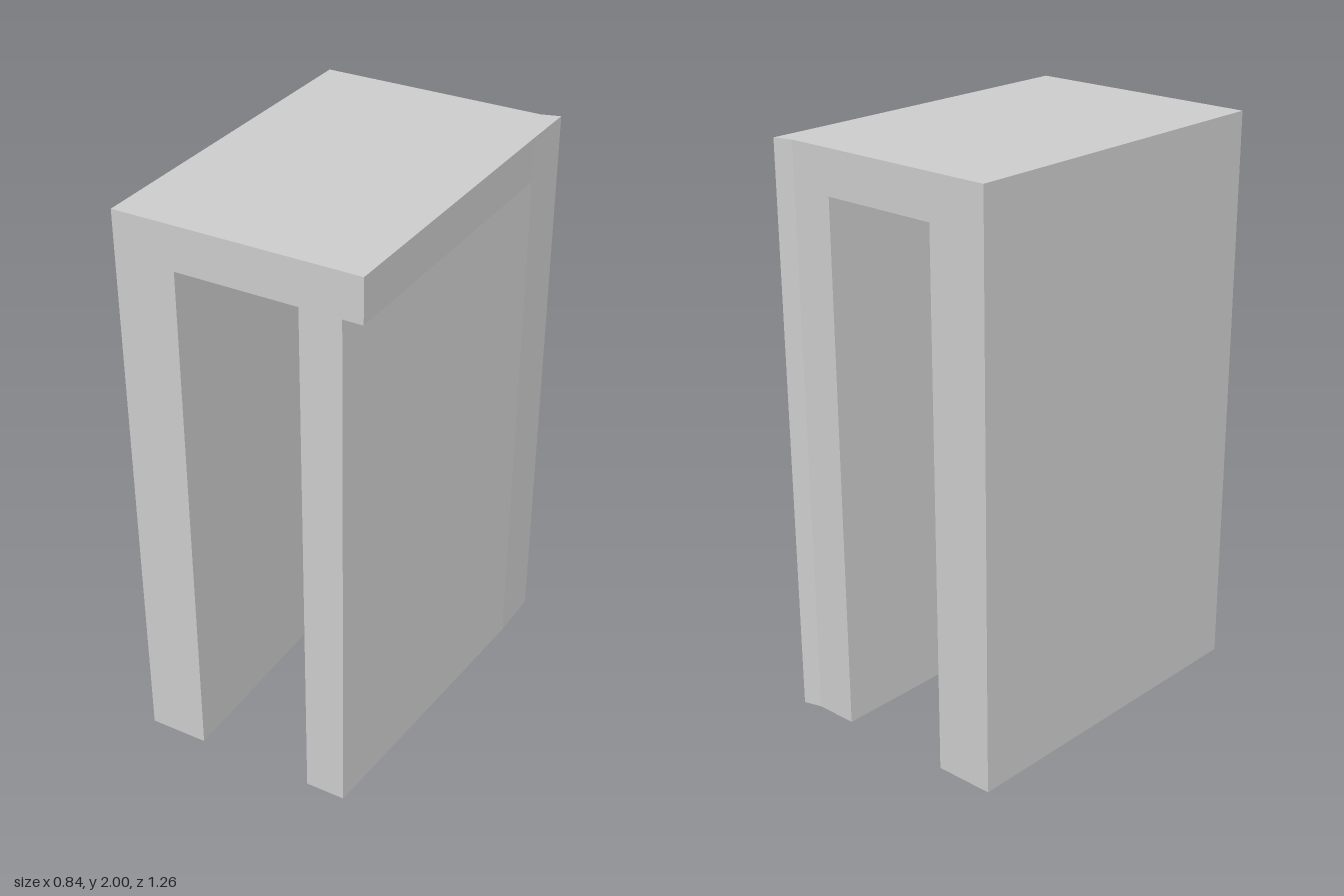
import * as THREE from 'three';

const HEIGHT = 2;
const LEG = 1.85; // underside of the top slab

// Upright prism from a plan outline of [x, z] points
function prism(name, plan, y0, y1, material) {
  const shape = new THREE.Shape(plan.map(([x, z]) => new THREE.Vector2(x, -z)));
  const geometry = new THREE.ExtrudeGeometry(shape, { depth: y1 - y0, bevelEnabled: false });
  geometry.rotateX(-Math.PI / 2).translate(0, y0, 0);
  const mesh = new THREE.Mesh(geometry, material);
  mesh.name = name;
  return mesh;
}

export function createModel() {
  const group = new THREE.Group();
  group.name = 'archBlock';
  const material = new THREE.MeshStandardMaterial({ color: 0xcccccc, flatShading: true });

  // Slightly skewed slab with a flared back corner
  const flare = [[0.418, -0.63], [0.355, -0.61]];
  group.add(prism('topSlab', [
    [-0.418, 0.627], [0.412, 0.606], [0.416, -0.44], ...flare, [-0.418, -0.585],
  ], LEG, HEIGHT, material));

  // Straight wall on one side
  group.add(prism('rightWall', [
    [-0.418, 0.627], [-0.21, 0.622], [-0.21, -0.592], [-0.418, -0.585],
  ], 0, LEG, material));

  // Wall that narrows towards the front, leaving the slab overhanging
  group.add(prism('leftWall', [
    [0.205, 0.611], [0.345, 0.608], [0.416, -0.44], ...flare, [0.205, -0.605],
  ], 0, LEG, material));

  return group;
}
